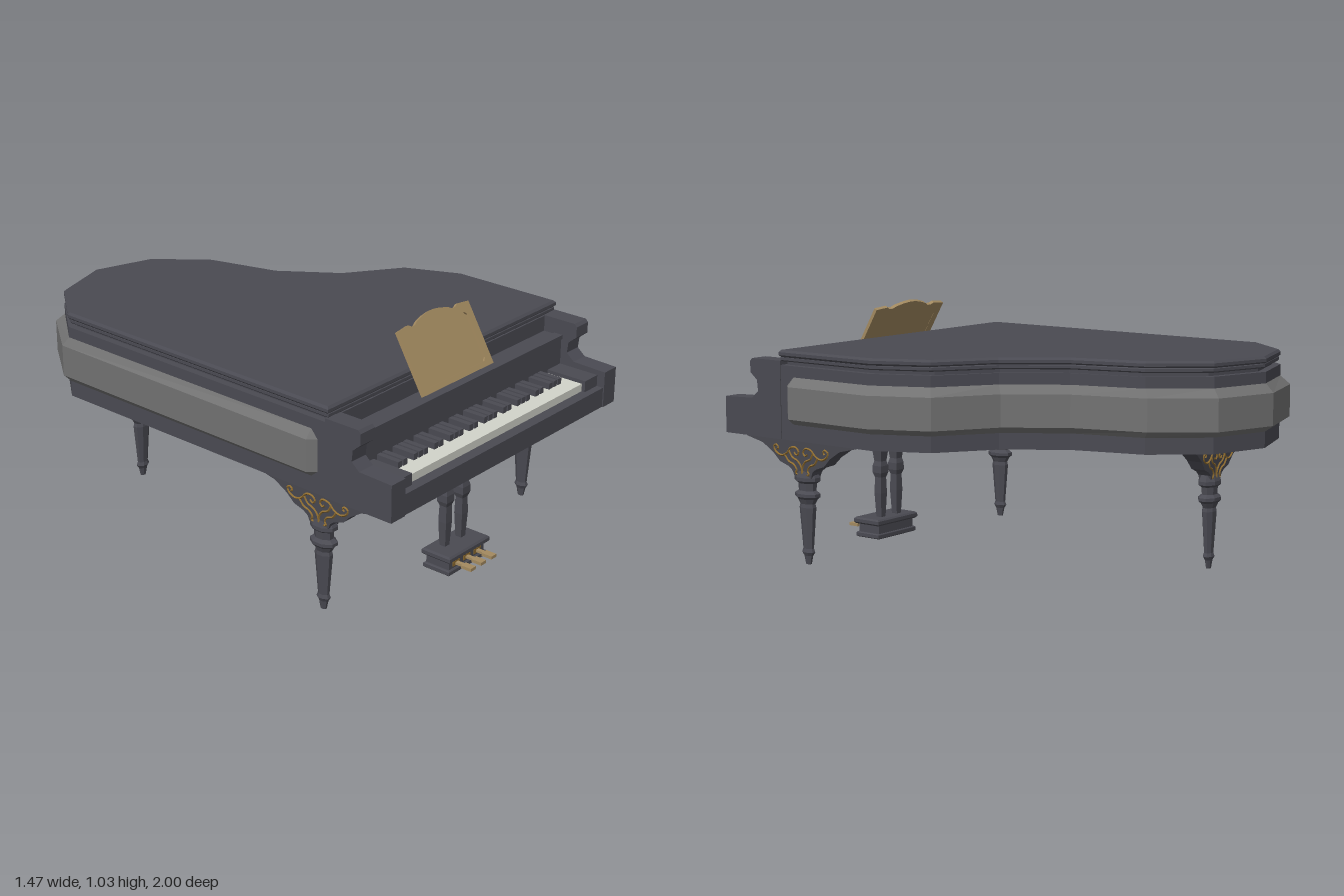
import * as THREE from 'three';

const mat = (name, color) => Object.assign(new THREE.MeshStandardMaterial({ color }), { name });

export function createModel() {
  const root = new THREE.Group();
  root.name = 'grandPiano';
  const black = mat('ebony', 0x4a4a52);
  const grey = mat('sidePanelGrey', 0x727272);
  const ivory = mat('ivory', 0xd2d4ca);
  const wood = mat('deskWood', 0xa38a60);
  const gold = mat('goldTrim', 0x8e6c30);

  // helpers
  const flat = (g) => {
    const f = g.index ? g.toNonIndexed() : g;
    f.computeVertexNormals();
    return f;
  };
  const add = (parent, name, geo, material, x = 0, y = 0, z = 0) => {
    const m = new THREE.Mesh(geo, material);
    m.name = name;
    m.position.set(x, y, z);
    parent.add(m);
    return m;
  };
  const box = (name, material, x0, x1, y0, y1, z0, z1, parent = root) =>
    add(parent, name, new THREE.BoxGeometry(x1 - x0, y1 - y0, z1 - z0), material,
      (x0 + x1) / 2, (y0 + y1) / 2, (z0 + z1) / 2);
  const shapeOf = (pts) => new THREE.Shape(pts.map(([x, y]) => new THREE.Vector2(x, y)));
  // horizontal slab from a plan outline of [x, z], with an optional chamfer
  const slab = (name, pts, y0, y1, bevel = 0) => {
    const g = new THREE.ExtrudeGeometry(shapeOf(pts.map(([x, z]) => [x, -z])), {
      depth: y1 - y0 - 2 * bevel, bevelEnabled: bevel > 0, bevelSize: bevel,
      bevelThickness: bevel, bevelOffset: -bevel, bevelSegments: 1,
    });
    g.rotateX(-Math.PI / 2);
    add(root, name, flat(g), black, 0, y0 + bevel, 0);
  };

  // case and lid
  const curve = [[0.70, 0.22], [0.60, -0.005], [0.375, -0.16], [0.215, -0.385], [0.135, -0.68],
    [-0.03, -0.885], [-0.28, -0.965], [-0.53, -0.885], [-0.695, -0.68]];
  const outline = [[0.70, 0.70], ...curve, [-0.71, 0.70]];
  const inset = outline.map(([x, z]) => [x * 0.96, z * 0.97]);
  slab('case', outline, 0.515, 0.815);
  slab('lidSpacer', inset, 0.81, 0.84);
  slab('lidLower', outline.map(([x, z]) => [x * 0.99, z * 0.995]), 0.829, 0.85, 0.005);
  slab('lid', outline, 0.845, 0.875, 0.009);

  // raised side band, lofted around the curved case
  const outer = [[0.735, 0.62], [0.735, 0.21], [0.63, -0.03], [0.39, -0.18], [0.235, -0.40],
    [0.15, -0.70], [-0.015, -0.915], [-0.28, -1], [-0.55, -0.92], [-0.715, -0.70], [-0.738, 0.62]];
  const edgeRing = [[0.695, 0.63], [0.70, 0.62], ...curve, [-0.709, 0.62], [-0.70, 0.63]];
  const faceRing = [[0.695, 0.66], ...outer, [-0.70, 0.66]];
  const rings = [[0.58, edgeRing], [0.605, faceRing], [0.735, faceRing], [0.77, edgeRing]];
  const n = edgeRing.length;
  const pos = [], idx = [];
  rings.forEach(([y, ring], k) => ring.forEach(([x, z], i) => {
    pos.push(x, y, z);
    if (k < rings.length - 1 && i < n - 1) {
      const a = k * n + i;
      idx.push(a, a + 1, a + n + 1, a, a + n + 1, a + n);
    }
  }));
  const band = new THREE.BufferGeometry();
  band.setAttribute('position', new THREE.Float32BufferAttribute(pos, 3));
  band.setIndex(idx);
  add(root, 'sideBand', flat(band), grey);

  // keyboard end: cheeks, key bed, fallboard
  const cheek = shapeOf([[0.69, 0.515], [1, 0.515], [1, 0.665], [0.85, 0.67], [0.815, 0.70],
    [0.82, 0.745], [0.856, 0.775], [0.856, 0.82], [0.845, 0.832], [0.69, 0.832]]);
  for (const [name, x0] of [['leftCheek', 0.625], ['rightCheek', -0.714]]) {
    const g = new THREE.ExtrudeGeometry(cheek, { depth: 0.078, bevelEnabled: false });
    g.rotateY(-Math.PI / 2); // profile z along +z, thickness towards -x
    add(root, name, g, black, x0 + 0.078, 0, 0);
  }
  box('keyBed', black, -0.66, 0.65, 0.515, 0.598, 0.69, 0.995);
  box('fallboard', black, -0.64, 0.63, 0.59, 0.765, 0.69, 0.785);
  box('fallboardLip', black, -0.64, 0.63, 0.752, 0.77, 0.75, 0.79);
  box('frontPanel', black, -0.64, 0.63, 0.76, 0.83, 0.68, 0.70);
  box('rightKeyBlock', black, -0.64, -0.555, 0.59, 0.645, 0.78, 0.965);
  box('leftKeyBlock', black, 0.54, 0.63, 0.59, 0.645, 0.78, 0.965);

  // keys: five octaves with sharps in groups of two and three
  box('whiteKeys', ivory, -0.555, 0.54, 0.59, 0.63, 0.78, 0.95);
  const step = 1.095 / 36;
  for (let i = 1; i < 36; i++) {
    if (i % 7 === 0 || i % 7 === 3) continue;
    const x = -0.555 + i * step;
    box('blackKey', black, x - 0.011, x + 0.011, 0.625, 0.655, 0.78, 0.885);
  }

  // music desk: arched frame with a sunken panel
  const desk = new THREE.Group();
  desk.name = 'musicDesk';
  const half = [[0.217, 0], [0.217, 0.26], [0.15, 0.267], [0.135, 0.258], [0.115, 0.257],
    [0.095, 0.268], [0.05, 0.28], [0.015, 0.285]];
  const frame = shapeOf([...half, ...half.slice().reverse().map(([x, y]) => [-x, y])]);
  const hole = [[-0.17, 0.022], [-0.182, 0.034], [-0.182, 0.213], [-0.17, 0.225],
    [0.17, 0.225], [0.182, 0.213], [0.182, 0.034], [0.17, 0.022]];
  frame.holes.push(new THREE.Path(hole.map(([x, y]) => new THREE.Vector2(x, y))));
  add(desk, 'deskFrame', new THREE.ExtrudeGeometry(frame, { depth: 0.014, bevelEnabled: false }), wood);
  box('deskPanel', wood, -0.19, 0.19, 0.015, 0.232, 0.001, 0.006, desk);
  desk.position.set(-0.027, 0.775, 0.757);
  desk.rotation.x = -0.53;
  root.add(desk);

  // legs: tapered bracket, turned post and scrolls on the outward (+z) face
  const halfThick = (y) => 0.028 + 0.012 * (y - 0.37) / 0.145;
  const bracketHalf = [[0.045, 0.36], [0.055, 0.385], [0.075, 0.40], [0.12, 0.415],
    [0.155, 0.45], [0.21, 0.485], [0.295, 0.505], [0.295, 0.52]];
  const post = [[0, 0], [0.013, 0], [0.02, 0.035], [0.03, 0.05], [0.024, 0.065], [0.038, 0.235],
    [0.034, 0.25], [0.045, 0.27], [0.058, 0.28], [0.058, 0.293], [0.04, 0.305], [0.042, 0.335],
    [0.058, 0.345], [0.058, 0.36], [0.045, 0.385], [0, 0.385]].map(([x, y]) => new THREE.Vector2(x, y));
  const scrolls = [
    [[0.13, 0.465], [0.122, 0.472], [0.13, 0.484], [0.147, 0.476], [0.14, 0.456], [0.11, 0.442],
      [0.08, 0.452], [0.055, 0.477], [0.025, 0.48], [0.012, 0.462], [0.025, 0.449], [0.036, 0.46]],
    [[0.09, 0.446], [0.07, 0.42], [0.045, 0.41], [0.03, 0.39], [0.036, 0.375], [0.022, 0.37]],
    [[0.065, 0.465], [0.05, 0.44], [0.02, 0.425], [0.003, 0.40], [0.003, 0.365]],
  ];
  const makeLeg = (name, x, z, turn, spread) => {
    const leg = new THREE.Group();
    leg.name = name;
    const shape = shapeOf([...bracketHalf, ...bracketHalf.slice().reverse().map(([u, y]) => [-u, y])]
      .map(([u, y]) => [u * spread, y]));
    const g = new THREE.ExtrudeGeometry(shape, { depth: 2, bevelEnabled: false });
    const p = g.attributes.position;
    for (let i = 0; i < p.count; i++) p.setZ(i, (p.getZ(i) - 1) * halfThick(p.getY(i)));
    add(leg, 'legBracket', flat(g), black);
    const turned = new THREE.LatheGeometry(post, 8, Math.PI / 8);
    turned.scale(1.04, 1, 0.72);
    add(leg, 'legPost', flat(turned), black);
    for (const pts of scrolls) for (const s of [1, -1]) {
      const path = new THREE.CatmullRomCurve3(pts.map(([u, y]) =>
        new THREE.Vector3(s * u * spread, y, halfThick(y) + 0.001)));
      add(leg, 'legScroll', flat(new THREE.TubeGeometry(path, 28, 0.0045, 4)), gold);
    }
    leg.position.set(x, 0, z);
    leg.rotation.y = turn;
    root.add(leg);
  };
  makeLeg('frontLeftLeg', 0.627, 0.622, Math.PI / 2, 1);
  makeLeg('frontRightLeg', -0.64, 0.622, -Math.PI / 2, 1);
  makeLeg('backLeg', -0.285, -0.713, Math.PI, 0.74);

  // pedal lyre: two square columns, stepped box and three pedals
  const column = [[0.018, 0.07], [0.02, 0.09], [0.027, 0.19], [0.024, 0.26], [0.034, 0.28],
    [0.034, 0.31], [0.026, 0.33], [0.042, 0.42], [0.042, 0.52]].map(([r, y]) => new THREE.Vector2(r, y));
  for (const x of [-0.068, 0.034]) {
    const g = new THREE.LatheGeometry(column, 4, Math.PI / 4);
    add(root, 'lyreColumn', flat(g), black, x, 0, 0.752);
  }
  const rect = (w, z0, z1) => [[-0.018 - w, z0], [-0.018 - w, z1], [-0.018 + w, z1], [-0.018 + w, z0]];
  slab('pedalBoxBase', rect(0.122, 0.705, 0.833), 0, 0.022, 0.004);
  slab('pedalBoxCore', rect(0.112, 0.712, 0.824), 0.015, 0.065);
  slab('pedalBoxTop', rect(0.129, 0.70, 0.84), 0.058, 0.086, 0.007);
  for (const x of [-0.085, -0.018, 0.049]) {
    box('pedalPlate', gold, x - 0.022, x + 0.022, 0.03, 0.052, 0.822, 0.827);
    box('pedalStem', wood, x - 0.009, x + 0.009, 0.035, 0.045, 0.82, 0.865);
    box('pedal', wood, x - 0.016, x + 0.016, 0.033, 0.046, 0.86, 0.908);
  }
  return root;
}
